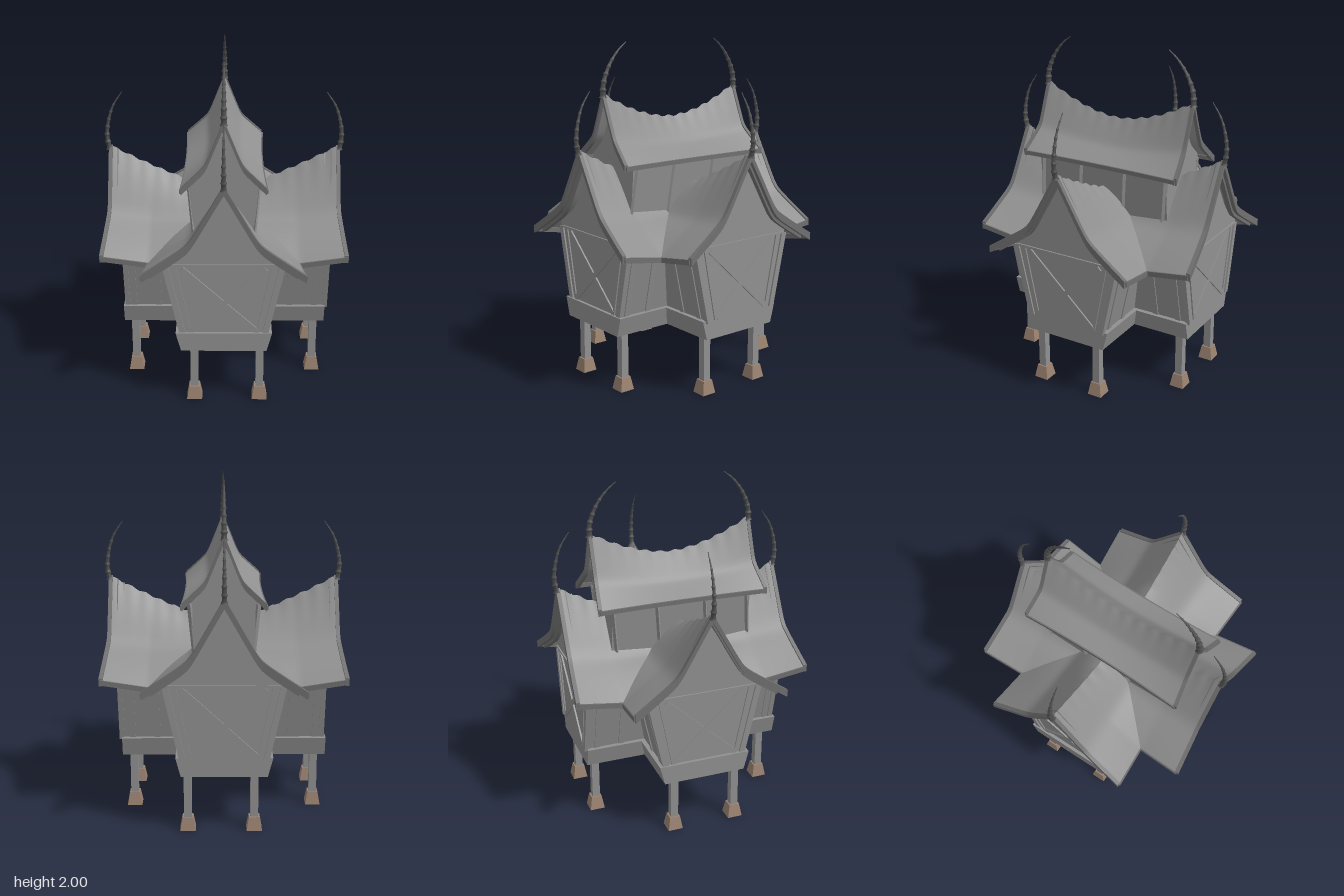
import * as THREE from 'three';
import { toCreasedNormals } from 'three/addons/utils/BufferGeometryUtils.js';

const paint = color => new THREE.MeshStandardMaterial({ color, side: THREE.DoubleSide });
const grey = paint(0x909090), trim = paint(0x707070), dark = paint(0x505050), brown = paint(0x9a8270);
const V = (x, y, z) => new THREE.Vector3(x, y, z);
const { lerp } = THREE.MathUtils;

function add(parent, name, geometry, material = grey) {
  const mesh = new THREE.Mesh(geometry, material);
  mesh.name = name;
  parent.add(mesh);
  return mesh;
}

// Surface through rows of points, smooth except at sharp creases
function loft(rows) {
  const n = rows[0].length, index = [];
  for (let i = 0; i < rows.length - 1; i++) {
    for (let j = 0; j < n - 1; j++) {
      const a = i * n + j, b = a + n;
      index.push(a, b, a + 1, b, b + 1, a + 1);
    }
  }
  const g = new THREE.BufferGeometry().setFromPoints(rows.flat());
  g.setIndex(index);
  return toCreasedNormals(g, 0.5);
}

const path = (n, fn) => Array.from({ length: n + 1 }, (_, i) => fn(i / n));

// Sample a surface function over s = -1..1 (across) and t = 0..1 (along)
const sheet = (fn, ns, nt) => loft(path(ns, u => path(nt, t => fn(2 * u - 1, t))));

// Rectangular moulding that follows a path; side is half its width as a vector
function moulding(points, side, h) {
  const up = V(0, h / 2, 0);
  const rows = points.map(p => [[1, 1], [-1, 1], [-1, -1], [1, -1], [1, 1]].map(
    ([a, b]) => p.clone().addScaledVector(side, a).addScaledVector(up, b)));
  rows.unshift(rows[0].map(() => points[0].clone()));
  rows.push(rows[0].map(() => points[points.length - 1].clone()));
  return loft(rows);
}

// Straight timber between two points
function bar(parent, name, a, b, width, depth) {
  const mesh = add(parent, name, new THREE.BoxGeometry(depth, width, a.distanceTo(b)));
  mesh.position.copy(a).lerp(b, 0.5);
  mesh.lookAt(b);
}

// Plate or prism with its outline in x and y, running from z0 to z1
function prism(parent, name, pts, z0, z1) {
  const shape = new THREE.Shape(pts.map(([x, y]) => new THREE.Vector2(x, y)));
  const g = new THREE.ExtrudeGeometry(shape, { depth: z1 - z0, bevelEnabled: false });
  add(parent, name, g.translate(0, 0, z0));
}
const trapezoid = (w0, y0, w1, y1) => [[-w0, y0], [w0, y0], [w1, y1], [-w1, y1]];

// Curved, tapering finial with raised rings
function horn(parent, pts, radius) {
  const curve = new THREE.CatmullRomCurve3(pts);
  const g = new THREE.TubeGeometry(curve, 72, radius, 8);
  const pos = g.attributes.position, uv = g.attributes.uv, p = V(0, 0, 0), c = V(0, 0, 0);
  for (let i = 0; i < pos.count; i++) {
    const t = uv.getX(i);
    curve.getPointAt(t, c);
    const ring = 1 + 0.4 * Math.pow(Math.abs(Math.cos(Math.PI * 8 * t)), 10);
    p.fromBufferAttribute(pos, i).sub(c).multiplyScalar((1 - 0.85 * t) * ring).add(c);
    pos.setXYZ(i, p.x, p.y, p.z);
  }
  g.computeVertexNormals();
  add(parent, 'hornFinial', g, dark);
}

// Roof slope, steep above and shallow below: 1 at the ridge, 0 at the eave
function slope(s) {
  const steep = 1 - 1.58 * s, shallow = 0.56 * (1 - s);
  return 0.5 * (steep + shallow + Math.hypot(steep - shallow, 0.063));
}
// Outward sweep of the gable edge, starting where the slope flattens
const sweep = a => Math.max(0, a - 0.43) / 0.57;
const ripple = (z, a) => 0.006 * Math.sin(70 * z) * Math.pow(1 - a, 8);

// Wing roof: r is the distance from the centre of the house
const flare = r => Math.max(0, (r - 0.44) / 0.28);
const wingWidth = r => 0.44 + 0.02 * flare(r);
function wingY(s, r) {
  const a = Math.abs(s), ridgeSag = 0.29 * (1 - Math.pow(r / 0.7, 1.3));
  return 0.88 + 0.53 * slope(a) - ridgeSag * (1 - a) ** 3 - 0.05 * (1 - flare(r)) * a + ripple(r, a);
}
function wingRoof(s, t) {
  const a = Math.abs(s), r = lerp(a * 0.44, 0.683 + 0.028 * sweep(a), t);
  return V(s * wingWidth(r), wingY(s, r), r);
}

// Upper roof: t runs from back to front
function topY(s, z) {
  const a = Math.abs(s);
  return lerp(1.325, 1.55 + 0.17 * Math.pow(Math.abs(z) / 0.51, 1.8), slope(a)) + ripple(z, a);
}
function topRoof(s, t) {
  const z = (2 * t - 1) * (0.497 + 0.02 * sweep(Math.abs(s)));
  return V(s * (0.225 + 0.015 * (2 * t - 1) ** 2), topY(s, z), z);
}

// One arm of the cross, with its end wall at the given reach
function createWing(reach) {
  const wing = new THREE.Group();
  wing.name = 'wing';
  prism(wing, 'floorSkirt', trapezoid(0.25, 0.345, 0.28, 0.46), 0, 0.614);
  prism(wing, 'wallBody', trapezoid(0.25, 0.45, 0.34, 0.855), 0, reach - 0.01);
  add(wing, 'wingRoof', sheet(wingRoof, 40, 32));
  const rake = path(40, u => wingRoof(2 * u - 1, 1).add(V(0, -0.015, 0)));
  add(wing, 'bargeboard', moulding(rake, V(0, 0, 0.012), 0.045), trim);
  const inner = path(40, u => wingRoof(1.8 * u - 0.9, 1).add(V(0, -0.035, -0.03)));
  add(wing, 'innerBargeboard', moulding(inner, V(0, 0, 0.015), 0.045), trim);
  for (const s of [-1, 1]) {
    const eave = path(10, u => wingRoof(s, u).add(V(0, -0.016, 0)));
    add(wing, 'eaveTrim', moulding(eave, V(0.008, 0, 0), 0.03), trim);
    // Leaning posts of the side wall, and corner boards
    for (const z of [0.4, 0.55]) {
      bar(wing, 'sidePost', V(s * 0.25, 0.45, z), V(s * 0.34, 0.86, z), 0.014, 0.035);
    }
    bar(wing, 'cornerBoard', V(s * 0.24, 0.45, reach - 0.015), V(s * 0.335, 0.89, reach - 0.015), 0.035, 0.03);
    bar(wing, 'panelFrame', V(s * 0.195, 0.46, reach - 0.01), V(s * 0.28, 0.89, reach - 0.01), 0.015, 0.016);
    bar(wing, 'crossBrace', V(s * -0.19, 0.47, reach - 0.01), V(s * 0.24, 0.87, reach - 0.01), 0.03, 0.02);
  }
  bar(wing, 'tieBeam', V(-0.33, 0.89, reach - 0.01), V(0.33, 0.89, reach - 0.01), 0.012, 0.018);
  // Gable wall under the roof curve
  const gable = path(24, u => {
    const x = 0.35 - 0.7 * u;
    return [x, wingY(x / wingWidth(reach), reach) - 0.015];
  });
  prism(wing, 'gableWall', [[-0.335, 0.85], [0.335, 0.85], ...gable], reach - 0.03, reach - 0.01);
  horn(wing, [V(0, 1.38, 0.69), V(0, 1.46, 0.702), V(0, 1.55, 0.692), V(0, 1.65, 0.66), V(0, 1.735, 0.605)], 0.015);
  return wing;
}

function createUpperHouse() {
  const upper = new THREE.Group();
  upper.name = 'upperHouse';
  upper.position.z = 0.015;
  prism(upper, 'upperWalls', trapezoid(0.165, 0.95, 0.2, 1.335), -0.435, 0.435);
  add(upper, 'upperRoof', sheet(topRoof, 40, 60));
  const gable = path(20, u => {
    const x = 0.2 - 0.4 * u;
    return [x, topY(x / 0.237, 0.43) - 0.014];
  });
  for (const e of [-1, 1]) {
    const t = (e + 1) / 2;
    prism(upper, 'upperGable', [[-0.195, 1.3], [0.195, 1.3], ...gable], e * 0.425 - 0.01, e * 0.425 + 0.01);
    const rake = path(40, u => topRoof(2 * u - 1, t).add(V(0, -0.012, 0)));
    add(upper, 'upperBargeboard', moulding(rake, V(0, 0, 0.011), 0.04), trim);
    const eave = path(12, u => topRoof(e, u).add(V(0, -0.014, 0)));
    add(upper, 'upperEave', moulding(eave, V(0.008, 0, 0), 0.025), trim);
    for (const z of [-0.42, -0.15, 0.15, 0.42]) {
      bar(upper, 'upperPost', V(e * 0.169, 1.0, z), V(e * 0.198, 1.32, z), 0.014, 0.026);
    }
    horn(upper, [V(0, 1.69, e * 0.5), V(0, 1.77, e * 0.495), V(0, 1.87, e * 0.455),
      V(0, 1.95, e * 0.395), V(0, 2, e * 0.335)], 0.017);
  }
  return upper;
}

export function createModel() {
  const model = new THREE.Group();
  model.name = 'stiltHouse';
  // Cross of four wings: front, left, back, right
  [0.605, 0.63, 0.63, 0.605].forEach((reach, k) => {
    const wing = createWing(reach);
    wing.rotation.y = k * Math.PI / 2;
    model.add(wing);
  });
  model.add(createUpperHouse());
  // Stilts on tapered footings
  const foot = new THREE.CylinderGeometry(0.044, 0.064, 0.08, 4).rotateY(Math.PI / 4).toNonIndexed();
  foot.computeVertexNormals();
  for (const a of [-0.175, 0.212]) {
    for (const b of [-0.55, 0.55]) {
      for (const [x, z] of [[a, b], [b, a]]) {
        add(model, 'stilt', new THREE.BoxGeometry(0.046, 0.3, 0.046)).position.set(x, 0.21, z);
        add(model, 'footing', foot, brown).position.set(x, 0.04, z);
      }
    }
  }
  return model;
}
